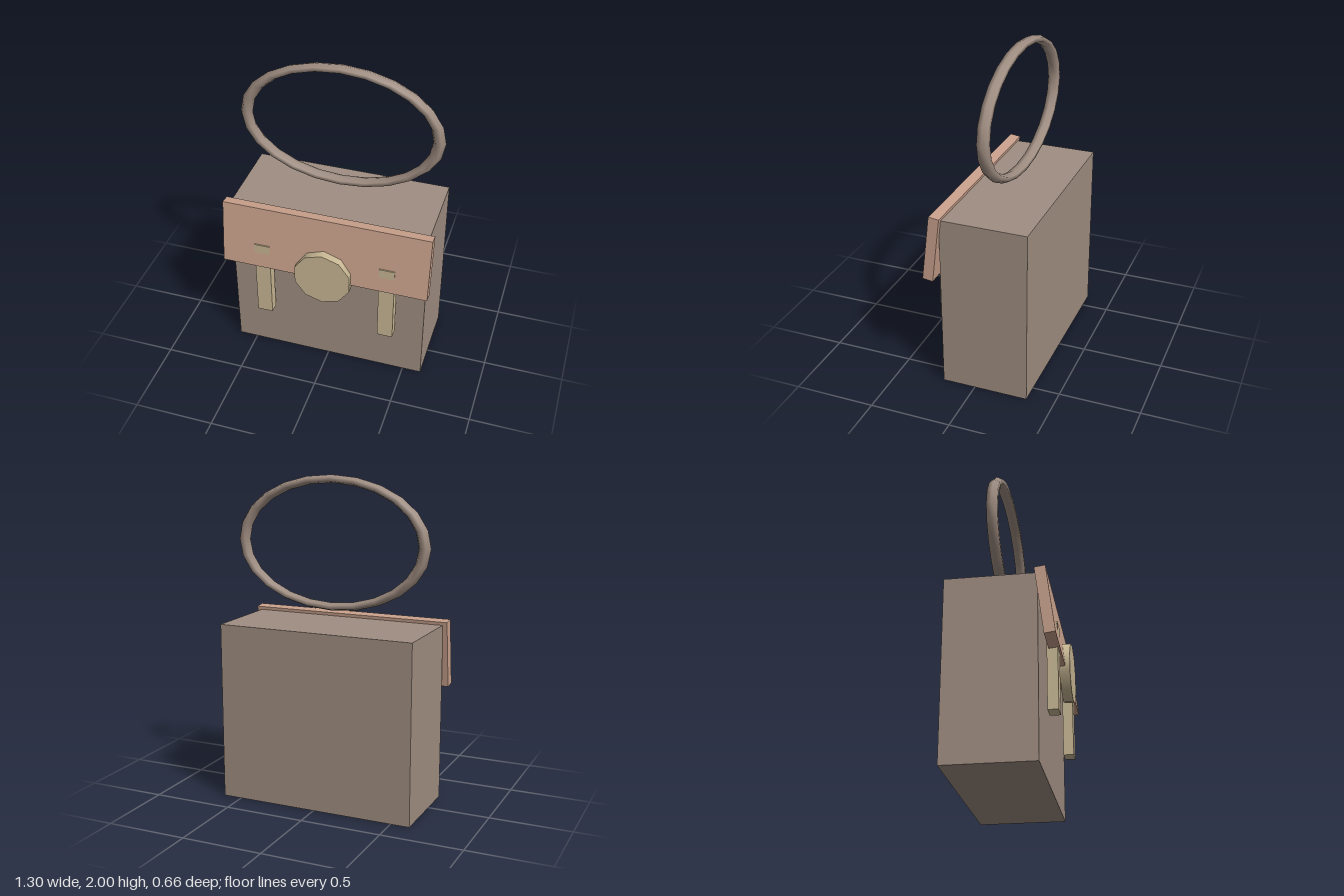
import * as THREE from 'three';

function material(name, color) {
  const m = new THREE.MeshStandardMaterial({ color });
  m.name = name;
  return m;
}

export function createModel() {
  const bag = new THREE.Group();
  bag.name = 'satchel';

  const leather = material('brown leather', 0xa08e82);
  const flapLeather = material('tan leather', 0xc9a18c);
  const brass = material('pale brass', 0xcab995);

  function add(name, geometry, mat, x, y, z) {
    const mesh = new THREE.Mesh(geometry, mat);
    mesh.name = name;
    mesh.position.set(x, y, z);
    bag.add(mesh);
    return mesh;
  }

  // Main compartment
  add('body', new THREE.BoxGeometry(1.236, 1.1, 0.537), leather, 0, 0.55, -0.0635);

  // Front flap, leaning out at its lower edge
  const flap = add('flap', new THREE.BoxGeometry(1.296, 0.415, 0.065), flapLeather, 0, 0.918, 0.247);
  flap.rotation.x = -0.125;

  // Straps that pass through the flap
  for (const side of [-1, 1]) {
    const name = side > 0 ? 'leftStrap' : 'rightStrap';
    add(name, new THREE.BoxGeometry(0.097, 0.53, 0.063), brass, side * 0.394, 0.61, 0.2615);
  }

  // Ten-sided clasp with a corner at the top
  const claspGeometry = new THREE.CylinderGeometry(0.1815, 0.1815, 0.06, 10);
  claspGeometry.rotateX(Math.PI / 2);
  add('clasp', claspGeometry, brass, 0, 0.737, 0.302);

  // Oval carrying loop floating above the body
  const loop = add('handleLoop', new THREE.TorusGeometry(1, 0.064, 6, 24), leather, 0, 1.5935, -0.063);
  loop.scale.set(0.588, 0.382, 0.588);

  return bag;
}
